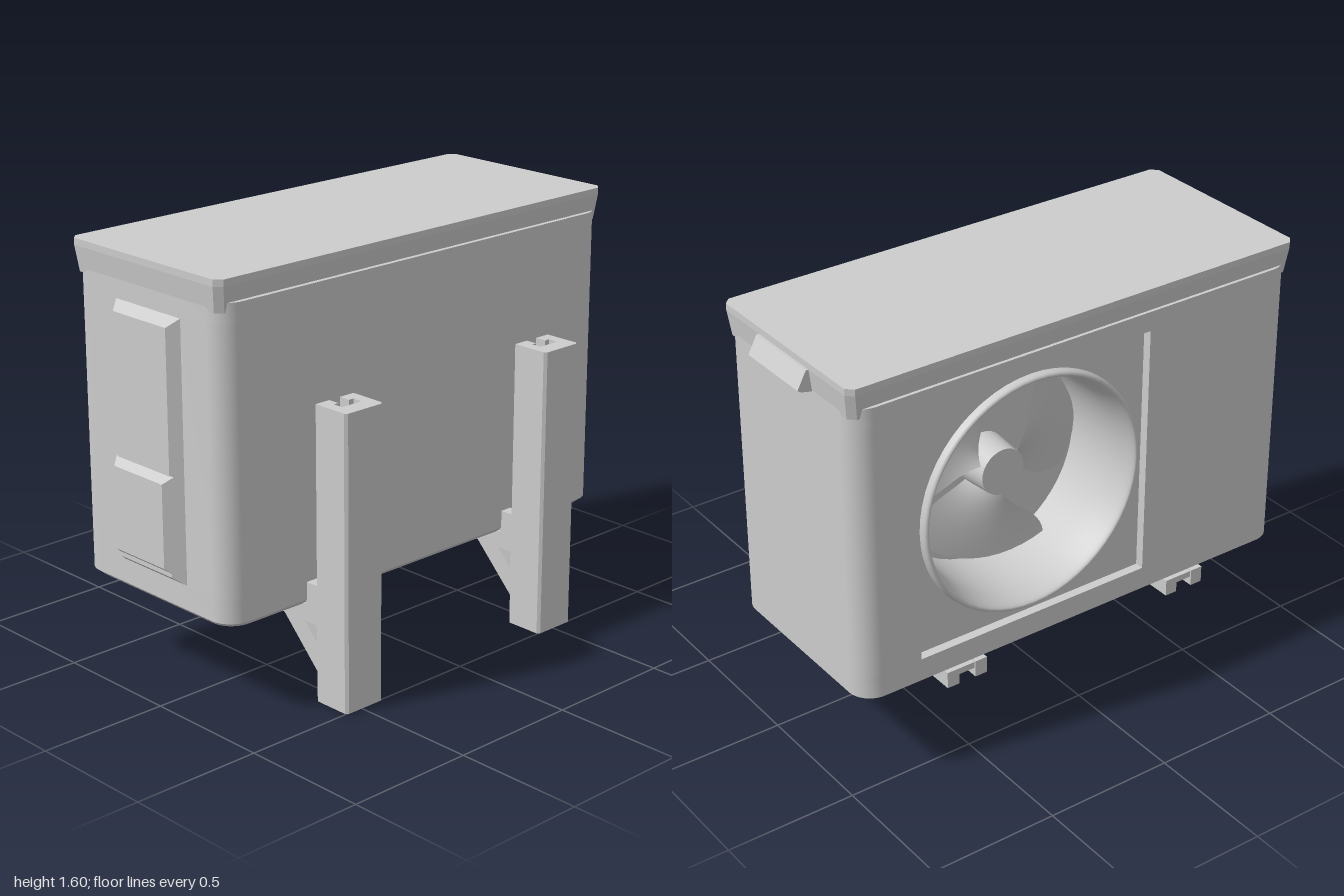
import * as THREE from 'three';
import { toCreasedNormals } from 'three/addons/utils/BufferGeometryUtils.js';
import { ParametricGeometry } from 'three/addons/geometries/ParametricGeometry.js';

const grey = new THREE.MeshStandardMaterial({ color: 0xcccccc, side: THREE.DoubleSide });
grey.name = 'paintedMetalGrey';

function add(parent, name, geometry, x = 0, y = 0, z = 0) {
  const mesh = new THREE.Mesh(geometry, grey);
  mesh.name = name;
  mesh.position.set(x, y, z);
  parent.add(mesh);
  return mesh;
}

// Footprint with rounded corners in x and z; an optional notch is open towards -x
function footprint(x0, x1, z0, z1, r, notch) {
  const s = new THREE.Shape();
  s.moveTo(x0 + r, z0);
  s.lineTo(x1 - r, z0);
  s.absarc(x1 - r, z0 + r, r, -Math.PI / 2, 0);
  s.absarc(x1 - r, z1 - r, r, 0, Math.PI / 2);
  s.absarc(x0 + r, z1 - r, r, Math.PI / 2, Math.PI);
  if (notch) {
    s.lineTo(x0, notch.z1);
    s.lineTo(x0 + notch.depth, notch.z1);
    s.lineTo(x0 + notch.depth, notch.z0);
    s.lineTo(x0, notch.z0);
  }
  s.absarc(x0 + r, z0 + r, r, Math.PI, Math.PI * 1.5);
  return s;
}

// Upright slab between two heights, with its bottom drawn in by an inset
function slab(shape, y0, y1, inset = 0) {
  const g = new THREE.ExtrudeGeometry(shape, { depth: y1 - y0, bevelEnabled: false, curveSegments: 8 });
  g.rotateX(Math.PI / 2);
  g.translate(0, y1, 0);
  if (inset) {
    g.computeBoundingBox();
    const c = g.boundingBox.getCenter(new THREE.Vector3());
    const h = g.boundingBox.getSize(new THREE.Vector3()).multiplyScalar(0.5);
    const p = g.attributes.position;
    for (let i = 0; i < p.count; i++) {
      if (p.getY(i) > y0 + 1e-4) continue;
      p.setX(i, c.x + (p.getX(i) - c.x) * (1 - inset / h.x));
      p.setZ(i, c.z + (p.getZ(i) - c.z) * (1 - inset / h.z));
    }
  }
  return toCreasedNormals(g, 0.5);
}

// Box whose front face (+z) is smaller by an inset on every side
function bevelledPlate(w, h, d, inset) {
  const g = new THREE.BoxGeometry(w, h, d).toNonIndexed();
  const p = g.attributes.position;
  for (let i = 0; i < p.count; i++) {
    if (p.getZ(i) < 0) continue;
    p.setX(i, p.getX(i) - Math.sign(p.getX(i)) * inset);
    p.setY(i, p.getY(i) - Math.sign(p.getY(i)) * inset);
  }
  g.computeVertexNormals();
  return g;
}

function polygon(points) {
  return new THREE.Shape(points.map(([x, y]) => new THREE.Vector2(x, y)));
}

function makeFan() {
  const fan = new THREE.Group();
  fan.name = 'fan';
  // Recessed square panel with a round opening
  const plate = polygon([[-0.49, -0.49], [0.49, -0.49], [0.49, 0.49], [-0.49, 0.49]]);
  const hole = new THREE.Path();
  hole.absarc(0, 0, 0.45, 0, Math.PI * 2, true);
  plate.holes.push(hole);
  add(fan, 'fanPanel', new THREE.ExtrudeGeometry(plate, { depth: 0.02, bevelEnabled: false, curveSegments: 32 }), 0, 0, -0.055);

  // Bell mouth and back of the air duct
  const mouth = new THREE.SplineCurve([
    [0.465, -0.036], [0.46, -0.01], [0.445, -0.008], [0.43, -0.05], [0.415, -0.14], [0.41, -0.33],
  ].map(([r, y]) => new THREE.Vector2(r, y))).getPoints(18);
  const duct = new THREE.LatheGeometry(mouth, 56);
  duct.rotateX(Math.PI / 2);
  add(fan, 'fanDuct', duct);
  add(fan, 'ductBack', new THREE.CircleGeometry(0.412, 56), 0, 0, -0.33);

  // Hub and three pitched blades
  const hub = new THREE.CylinderGeometry(0.09, 0.1, 0.13, 28);
  hub.rotateX(Math.PI / 2);
  add(fan, 'fanHub', hub, 0, 0, -0.26);
  for (let i = 0; i < 3; i++) {
    const blade = new ParametricGeometry((u, v, target) => {
      const r = 0.08 + 0.3 * u;
      const spread = 0.55 + 0.4 * Math.sin(u * Math.PI * 0.75);
      const a = (v - 0.5) * 2 * spread * 0.85 + u * 0.25;
      target.set(Math.cos(a) * r, Math.sin(a) * r, -0.265 + (v - 0.5) * 0.1);
    }, 12, 12);
    add(fan, 'fanBlade', blade).rotation.z = 0.1 + i * Math.PI * 2 / 3;
  }
  return fan;
}

function makeBracket() {
  const bracket = new THREE.Group();
  bracket.name = 'wallBracket';
  // Upright channel with a T-shaped slot towards the cabinet
  const post = polygon([
    [0.355, -0.088], [0.495, -0.088], [0.505, -0.078], [0.505, 0.078], [0.495, 0.088], [0.355, 0.088],
    [0.355, 0.025], [0.4, 0.025], [0.4, 0.045], [0.44, 0.045],
    [0.44, -0.045], [0.4, -0.045], [0.4, -0.025], [0.355, -0.025],
  ]);
  add(bracket, 'wallPost', slab(post, 0, 1.11));

  // Paired arm rails, each with a pierced gusset
  const rail = polygon([
    [-0.505, 0.29], [0.18, 0.29], [0.356, 0.11], [0.356, 0.44], [0.295, 0.44], [0.295, 0.355], [-0.505, 0.355],
  ]);
  rail.holes.push(new THREE.Path([[0.285, 0.29], [0.35, 0.29], [0.35, 0.225]].map(([x, y]) => new THREE.Vector2(x, y))));
  for (const side of [-1, 1]) {
    const g = new THREE.ExtrudeGeometry(rail, { depth: 0.05, bevelEnabled: false });
    add(bracket, 'armRail', g, 0, 0, side * 0.06 - 0.025);
  }
  add(bracket, 'armWeb', new THREE.BoxGeometry(0.85, 0.025, 0.08), -0.075, 0.338, 0);
  return bracket;
}

export function createModel() {
  const model = new THREE.Group();
  model.name = 'outdoorAirConditioner';

  // Cabinet, notched in the middle to hold the fan
  const size = [-0.505, 0.3, -0.945, 0.93, 0.09];
  const solid = footprint(...size);
  const notched = footprint(...size, { z0: -0.7, z1: 0.28, depth: 0.36 });
  const cabinet = new THREE.Group();
  cabinet.name = 'cabinet';
  model.add(cabinet);
  add(cabinet, 'cabinetFoot', slab(solid, 0.35, 0.372, 0.025));
  add(cabinet, 'cabinetBase', slab(solid, 0.372, 0.46));
  add(cabinet, 'cabinetMiddle', slab(notched, 0.46, 1.44));
  add(cabinet, 'cabinetTop', slab(solid, 1.44, 1.515));
  add(cabinet, 'basePan', new THREE.BoxGeometry(0.62, 0.01, 1.66), -0.1, 0.348, 0);

  // Lid with chamfered rim
  const rim = [[-0.475, -0.955], [0.265, -0.955], [0.29, -0.93], [0.29, 0.915], [0.265, 0.94],
    [-0.475, 0.94], [-0.5, 0.915], [-0.5, -0.93]];
  add(model, 'lidRim', slab(polygon(rim), 1.48, 1.575, 0.012));
  add(model, 'lidTop', slab(polygon(rim), 1.575, 1.6));

  // Fan opening on the model's right side
  const fan = makeFan();
  fan.position.set(-0.505, 0.95, -0.21);
  fan.rotation.y = -Math.PI / 2;
  model.add(fan);

  // Service cover and valve cover on the front
  add(model, 'serviceCover', bevelledPlate(0.35, 0.97, 0.045, 0.035), -0.09, 0.945, 0.9475);
  add(model, 'valveCover', bevelledPlate(0.31, 0.36, 0.032, 0.025), -0.085, 0.69, 0.984);

  // Slanted carrying grip on the back
  const grip = new THREE.ExtrudeGeometry(
    polygon([[0.94, 1.575], [0.965, 1.575], [1, 1.51], [0.985, 1.5], [0.94, 1.49]]),
    { depth: 0.31, bevelEnabled: false });
  grip.rotateY(Math.PI / 2);
  add(model, 'carryingGrip', grip, -0.26, 0, 0);

  // Wall brackets
  for (const z of [0.485, -0.507]) {
    const bracket = makeBracket();
    bracket.position.z = z;
    model.add(bracket);
  }
  return model;
}
